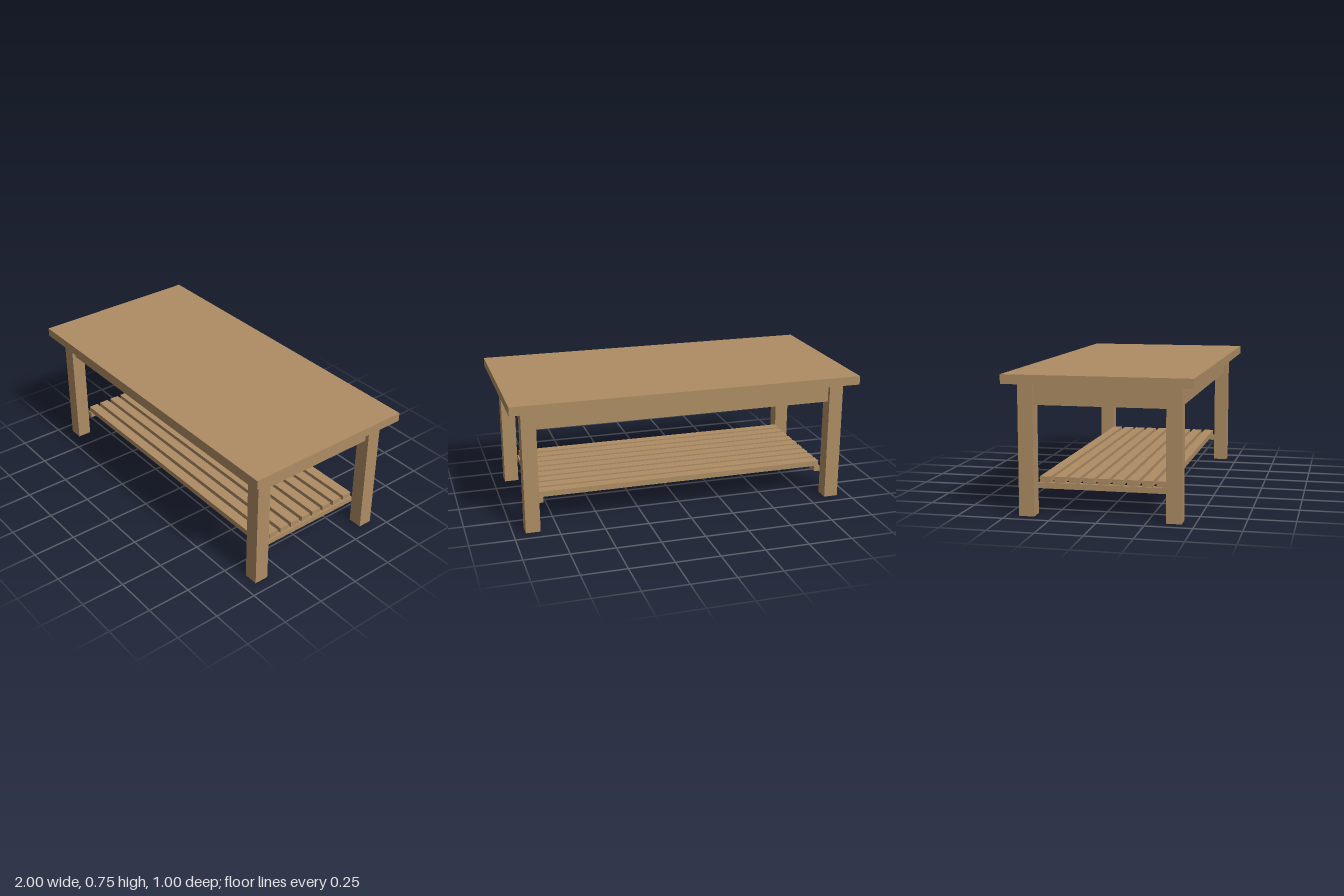
import * as THREE from 'three';

export function createModel() {
  const table = new THREE.Group();
  table.name = 'coffeeTable';
  const wood = new THREE.MeshStandardMaterial({ color: 0xae8d64 });
  wood.name = 'wood';

  // Box given by its extents along each axis
  function board(name, [x0, x1], [y0, y1], [z0, z1]) {
    const mesh = new THREE.Mesh(new THREE.BoxGeometry(x1 - x0, y1 - y0, z1 - z0), wood);
    mesh.position.set((x0 + x1) / 2, (y0 + y1) / 2, (z0 + z1) / 2);
    mesh.name = name;
    table.add(mesh);
  }
  // Extent mirrored to the chosen side
  const side = (s, a, b) => (s > 0 ? [a, b] : [-b, -a]);

  const underside = 0.703, apronBottom = 0.587;
  board('tableTop', [-1, 1], [underside, 0.753], [-0.5, 0.5]);

  for (const s of [1, -1]) {
    // Aprons set back slightly from the outer leg faces
    board(s > 0 ? 'frontApron' : 'backApron', [-0.85, 0.85], [apronBottom, underside], side(s, 0.375, 0.41));
    board(s > 0 ? 'leftApron' : 'rightApron', side(s, 0.875, 0.91), [apronBottom, underside], [-0.35, 0.35]);

    // Cross rails carrying the shelf
    board(s > 0 ? 'leftShelfRail' : 'rightShelfRail', side(s, 0.815, 0.85), [0.135, 0.166], [-0.35, 0.35]);

    // Legs with corner blocks behind the aprons
    for (const t of [1, -1]) {
      const corner = (t > 0 ? 'front' : 'back') + (s > 0 ? 'Left' : 'Right');
      board(corner + 'Leg', side(s, 0.85, 0.932), [0, underside], side(t, 0.35, 0.432));
      board(corner + 'CornerBlock', side(s, 0.77, 0.875), [apronBottom, underside], side(t, 0.27, 0.375));
    }
  }

  // Nine shelf slats
  for (let i = -4; i <= 4; i++) {
    const z = i * 0.0785;
    board('shelfSlat' + (i + 5), [-0.842, 0.842], [0.166, 0.198], [z - 0.029, z + 0.029]);
  }
  return table;
}
